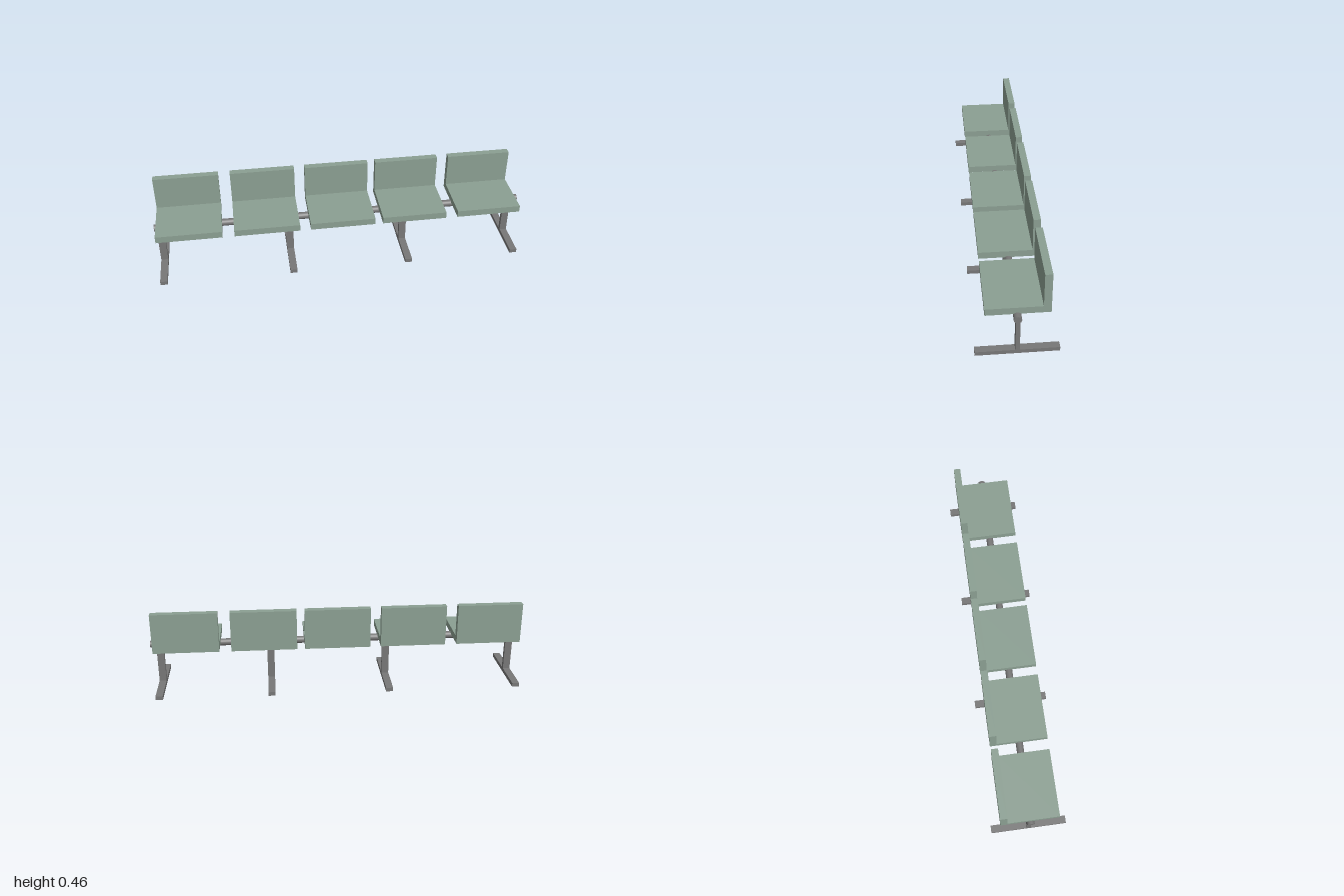
import * as THREE from 'three';

const green = new THREE.MeshStandardMaterial({ color: 0x8b9f92 });
const metal = new THREE.MeshStandardMaterial({ color: 0x777777 });
const channelMetal = new THREE.MeshStandardMaterial({ color: 0x777777, side: THREE.DoubleSide });

function add(parent, name, geometry, material, x = 0, y = 0, z = 0) {
  const mesh = new THREE.Mesh(geometry, material);
  mesh.name = name;
  mesh.position.set(x, y, z);
  parent.add(mesh);
  return mesh;
}

// Box without its underside
function openBox(w, h, d) {
  const geometry = new THREE.BoxGeometry(w, h, d);
  const index = Array.from(geometry.index.array);
  index.splice(18, 6); // faces run +x, -x, +y, -y, +z, -z
  geometry.setIndex(index);
  geometry.clearGroups();
  return geometry;
}

export function createModel() {
  const model = new THREE.Group();
  model.name = 'beamSeating';

  // Seats: one L-shaped side profile (z, y) extruded across the width
  const seatWidth = 0.346;
  const profile = new THREE.Shape([
    [-0.152, 0.245], [0.151, 0.245], [0.151, 0.461],
    [0.115, 0.461], [0.115, 0.281], [-0.152, 0.281],
  ].map(([z, y]) => new THREE.Vector2(z, y)));
  const seatGeometry = new THREE.ExtrudeGeometry(profile, { depth: seatWidth, bevelEnabled: false });
  seatGeometry.translate(0, 0, -seatWidth / 2);
  seatGeometry.rotateY(Math.PI / 2);
  [-0.812, -0.404, -0.001, 0.387, 0.796].forEach((x) => add(model, 'seat', seatGeometry, green, x));

  // Round beam carrying the seats
  const beamGeometry = new THREE.CylinderGeometry(0.019, 0.019, 2, 32);
  beamGeometry.rotateZ(Math.PI / 2);
  add(model, 'beam', beamGeometry, metal, 0, 0.234, 0.004);

  // Legs: channel foot and a post that leans back slightly
  const footGeometry = openBox(0.038, 0.021, 0.4);
  const postGeometry = new THREE.BoxGeometry(0.038, 0.203, 0.021);
  [-0.97, -0.277, 0.355, 0.949].forEach((x) => {
    const leg = new THREE.Group();
    leg.name = 'leg';
    leg.position.x = x;
    add(leg, 'foot', footGeometry, channelMetal, 0, 0.0105, 0);
    add(leg, 'post', postGeometry, metal, 0, 0.119, -0.001).rotation.x = -0.01;
    model.add(leg);
  });

  return model;
}
